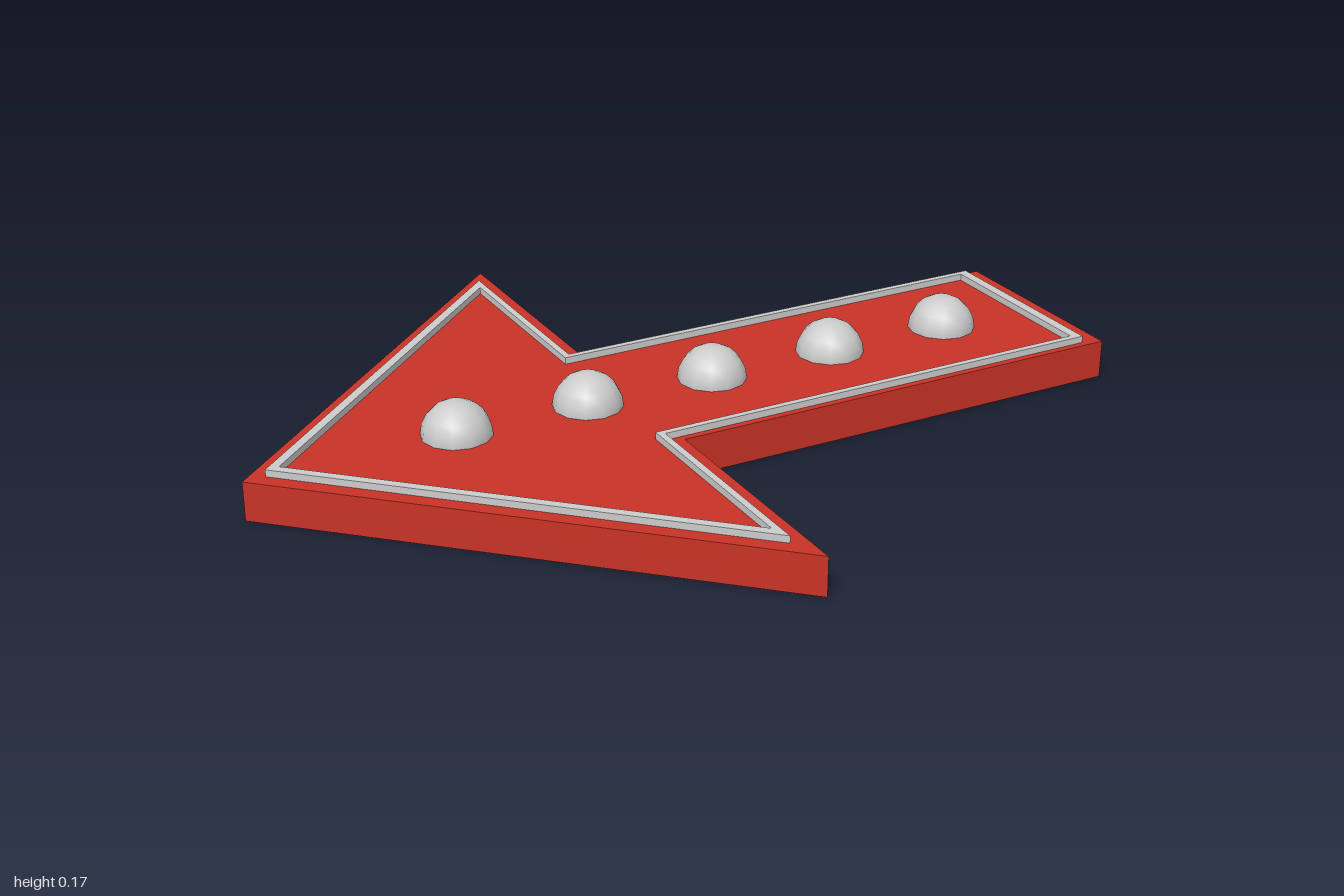
import * as THREE from 'three';

const red = new THREE.MeshStandardMaterial({ color: 0xc83226 });
const grey = new THREE.MeshStandardMaterial({ color: 0xcccccc });

// Symmetric arrow outline pointing to -x: tip, barb, notch and tail end
function arrowPoints(tip, barbX, barbZ, stemZ, end) {
  const half = [[barbX, barbZ], [barbX, stemZ], [end, stemZ]];
  const mirrored = half.map(([x, z]) => [x, -z]);
  return [[tip, 0], ...mirrored, ...half.reverse()].map(([x, z]) => new THREE.Vector2(x, z));
}

// Lay a shape flat and extrude it upwards from y
function slab(name, shape, y, height, material) {
  const geometry = new THREE.ExtrudeGeometry(shape, { depth: height, bevelEnabled: false });
  geometry.rotateX(-Math.PI / 2);
  const mesh = new THREE.Mesh(geometry, material);
  mesh.position.y = y;
  mesh.name = name;
  return mesh;
}

export function createModel() {
  const group = new THREE.Group();
  group.name = 'arrowSign';

  // Solid arrow board
  const board = new THREE.Shape(arrowPoints(-1, -0.11, 0.83, 0.252, 1));
  group.add(slab('board', board, 0, 0.09, red));

  // Thin raised border
  const border = new THREE.Shape(arrowPoints(-0.95, -0.148, 0.75, 0.236, 0.954));
  border.holes.push(new THREE.Path(arrowPoints(-0.92, -0.164, 0.706, 0.221, 0.93)));
  group.add(slab('border', border, 0.09, 0.016, grey));

  // Row of domed bulbs
  const dome = new THREE.SphereGeometry(0.079, 12, 5, 0, Math.PI * 2, 0, Math.PI / 2);
  for (let i = 0; i < 5; i++) {
    const bulb = new THREE.Mesh(dome, grey);
    bulb.name = `bulb${i + 1}`;
    bulb.position.set(-0.526 + i * 0.311, 0.09, 0);
    group.add(bulb);
  }
  return group;
}
